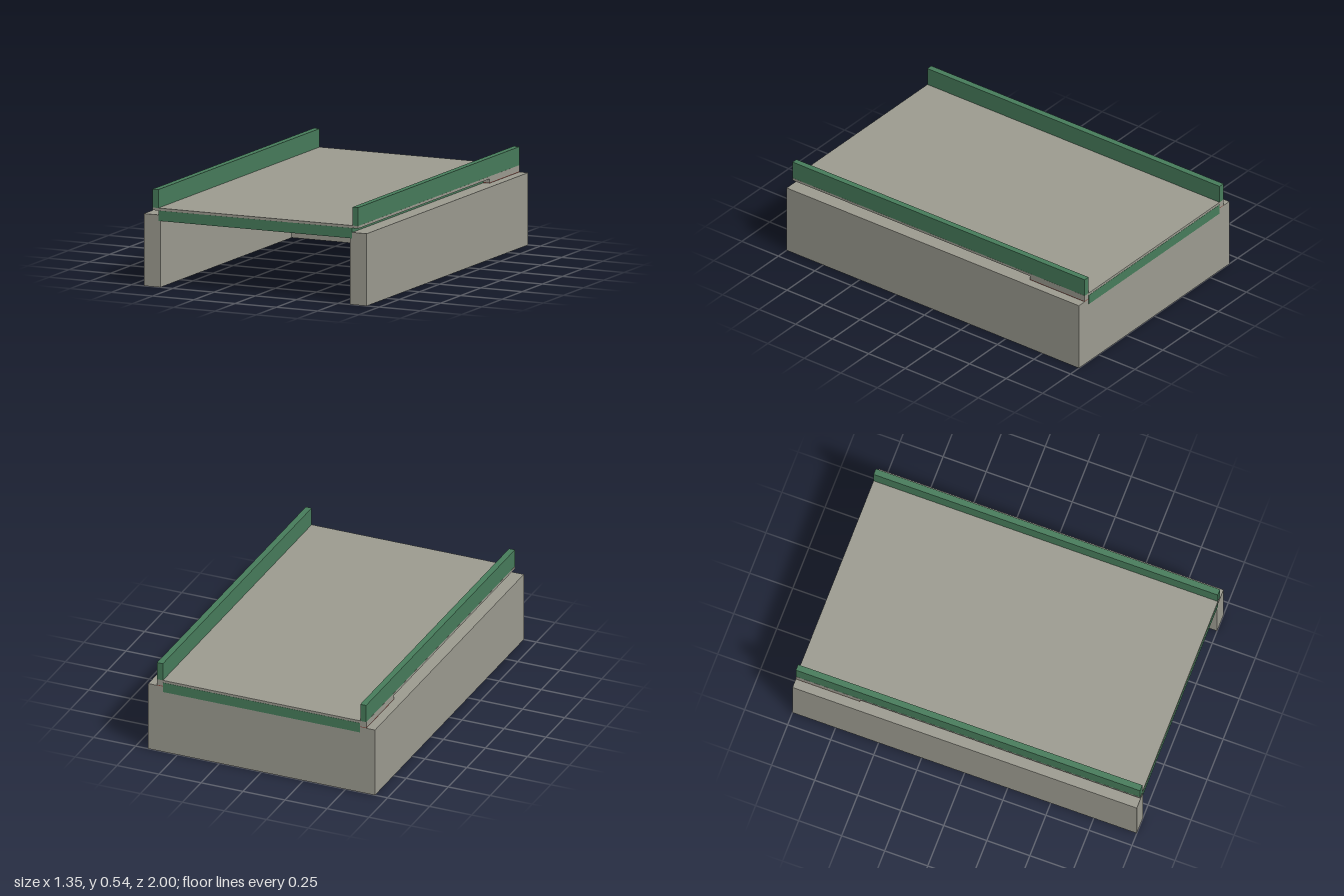
import * as THREE from 'three';

const concrete = new THREE.MeshStandardMaterial({ name: 'concrete grey', color: 0x9c9b90 });
const steel = new THREE.MeshStandardMaterial({ name: 'painted steel green', color: 0x477c5b });
const bearing = new THREE.MeshStandardMaterial({ name: 'bearing red', color: 0x8a4a40 });

// Box given by its extents on each axis
function box(name, material, [x0, x1], [y0, y1], [z0, z1]) {
  const mesh = new THREE.Mesh(new THREE.BoxGeometry(x1 - x0, y1 - y0, z1 - z0), material);
  mesh.position.set((x0 + x1) / 2, (y0 + y1) / 2, (z0 + z1) / 2);
  mesh.name = name;
  return mesh;
}

export function createModel() {
  const model = new THREE.Group();
  model.name = 'bridgeSpan';

  const W = 0.675, inner = 0.575, seatZ = -0.627, wallTop = 0.4;

  // U-shaped abutment: thick back block and two side walls, open at the front
  const plan = new THREE.Shape([
    [-W, -1], [W, -1], [W, 1], [inner, 1], [inner, -seatZ * -1],
    [-inner, seatZ], [-inner, 1], [-W, 1],
  ].map(([x, z]) => new THREE.Vector2(x, -z)));
  const abutmentGeometry = new THREE.ExtrudeGeometry(plan, { depth: wallTop, bevelEnabled: false });
  abutmentGeometry.rotateX(-Math.PI / 2);
  const abutment = new THREE.Mesh(abutmentGeometry, concrete);
  abutment.name = 'abutment';
  model.add(abutment);

  // Bearing strip and raised seat on the back block
  model.add(box('bearingStrip', bearing, [-0.623, 0.623], [wallTop, 0.404], [-1, seatZ]));
  model.add(box('bridgeSeat', concrete, [-0.623, 0.623], [0.404, 0.425], [-1, seatZ]));

  // Steel slab carrying the deck, a hair proud of the end faces
  model.add(box('girderSlab', steel, [-0.587, 0.587], [0.367, 0.424], [-1.001, 1.001]));

  // Deck plate
  model.add(box('deck', concrete, [-0.623, 0.623], [0.424, 0.438], [-1, 1]));

  // Parapets along both edges
  for (const side of [-1, 1]) {
    const parapet = box(side > 0 ? 'leftParapet' : 'rightParapet', steel,
      [-0.0175, 0.0175], [0.438, 0.54], [-1, 1]);
    parapet.position.x = side * 0.605;
    model.add(parapet);
  }
  return model;
}
